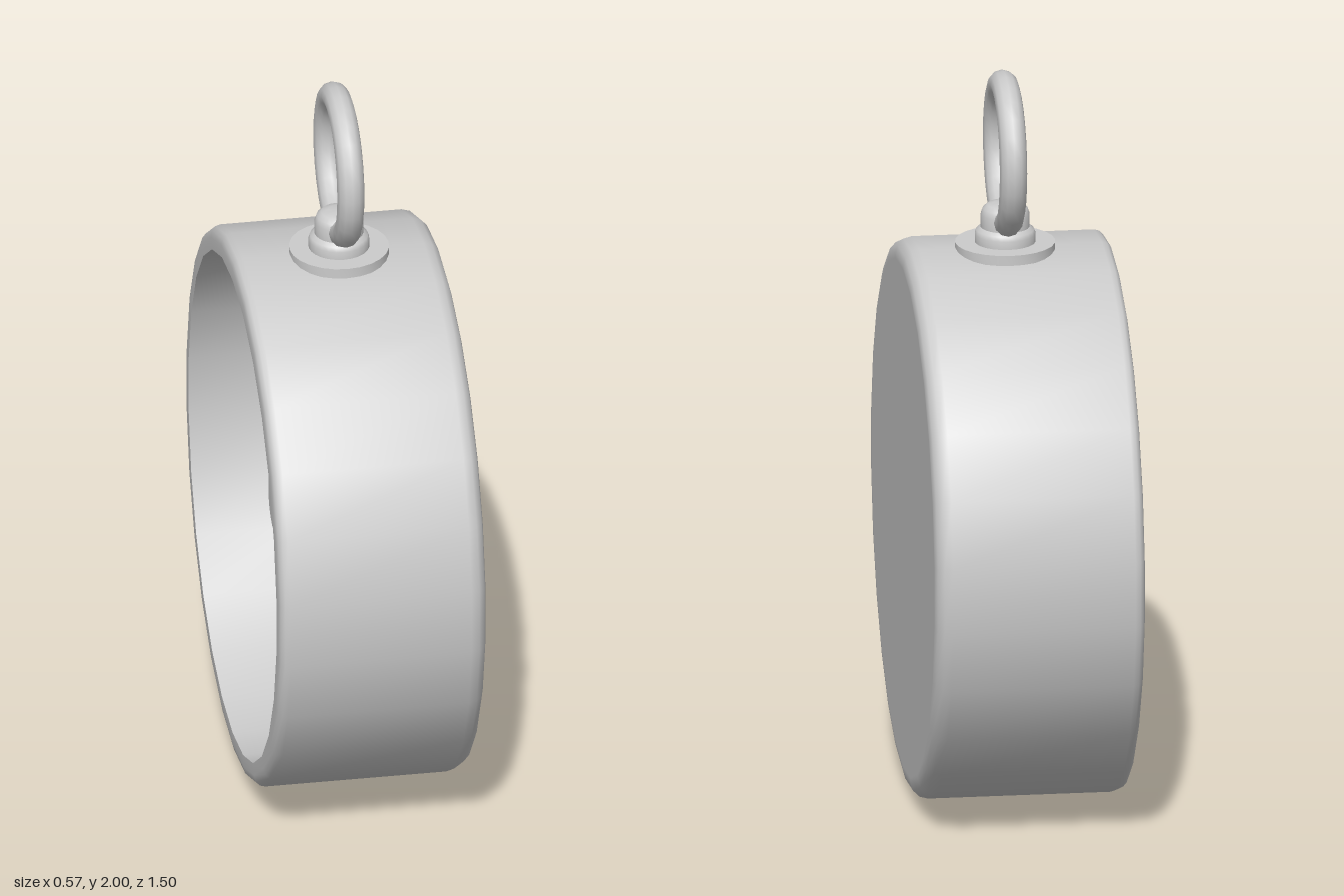
import * as THREE from 'three';
import { toCreasedNormals } from 'three/addons/utils/BufferGeometryUtils.js';

const R = 0.757;      // case radius, also the height of its centre
const HALF = 0.283;   // half depth of the case
const CROWN_X = 0.007;

export function createModel() {
  const model = new THREE.Group();
  const material = new THREE.MeshStandardMaterial({ color: 0xcccccc });

  const add = (name, geometry, x = 0, y = 0, z = 0) => {
    const mesh = new THREE.Mesh(geometry, material);
    mesh.name = name;
    mesh.position.set(x, y, z);
    model.add(mesh);
  };
  const lathe = (points, sides, start = 0) => toCreasedNormals(
    new THREE.LatheGeometry(points.map(([r, h]) => new THREE.Vector2(r, h)), sides, start), 0.7);

  // Case: a drum lying along x, open on the -x side, with rounded edges
  const profile = [[0, -0.008], [0.692, -0.008], [0.692, -HALF], [0.725, -HALF]];
  const rimRound = 0.028;
  for (let i = 1; i <= 3; i++) {
    const a = i * Math.PI / 6;
    profile.push([R - rimRound + rimRound * Math.sin(a), -HALF + rimRound - rimRound * Math.cos(a)]);
  }
  const backRound = 0.045;
  for (let i = 0; i <= 3; i++) {
    const a = i * Math.PI / 6;
    profile.push([R - backRound + backRound * Math.cos(a), HALF - backRound + backRound * Math.sin(a)]);
  }
  profile.push([0.70, HALF], [0, HALF]);
  add('case', lathe(profile, 26, Math.PI / 2).rotateZ(-Math.PI / 2), 0, R);

  // Pivot: a post behind the needle and a cap in front of it
  const disc = (r, x0, x1) =>
    new THREE.CylinderGeometry(r, r, x1 - x0, 20).rotateZ(-Math.PI / 2).translate((x0 + x1) / 2, 0, 0);
  add('pivotPost', disc(0.072, -0.09, 0), 0, R);
  add('pivotCap', disc(0.09, -0.17, -0.125), 0, R);

  // Needle: flat, widest at the pivot, tapering to blunt tips
  const side = [[0.022, 0.49], [0.034, 0.27], [0.055, 0.12], [0.085, 0.02]];
  const half = [...side, ...side.map(([x, y]) => [x, -y]).reverse()];
  const outline = [...half, ...half.map(([x, y]) => [-x, -y])];
  const needle = new THREE.Shape(outline.map(([x, y]) => new THREE.Vector2(x, y)));
  add('needle', new THREE.ExtrudeGeometry(needle, { depth: 0.04, bevelEnabled: false })
    .rotateZ(-0.26).rotateY(-Math.PI / 2), -0.088, R);

  // Crown: flange, collar and rounded stem
  add('crown', lathe([
    [0, 1.5], [0.135, 1.5], [0.135, 1.528], [0.082, 1.528], [0.082, 1.55], [0.078, 1.562],
    [0.066, 1.57], [0.066, 1.605], [0.06, 1.622], [0.048, 1.632], [0.03, 1.636], [0, 1.637],
  ], 24), CROWN_X);

  // Hanging ring
  add('ring', new THREE.TorusGeometry(0.188, 0.037, 12, 26).rotateY(Math.PI / 2), CROWN_X, 1.775);

  return model;
}
